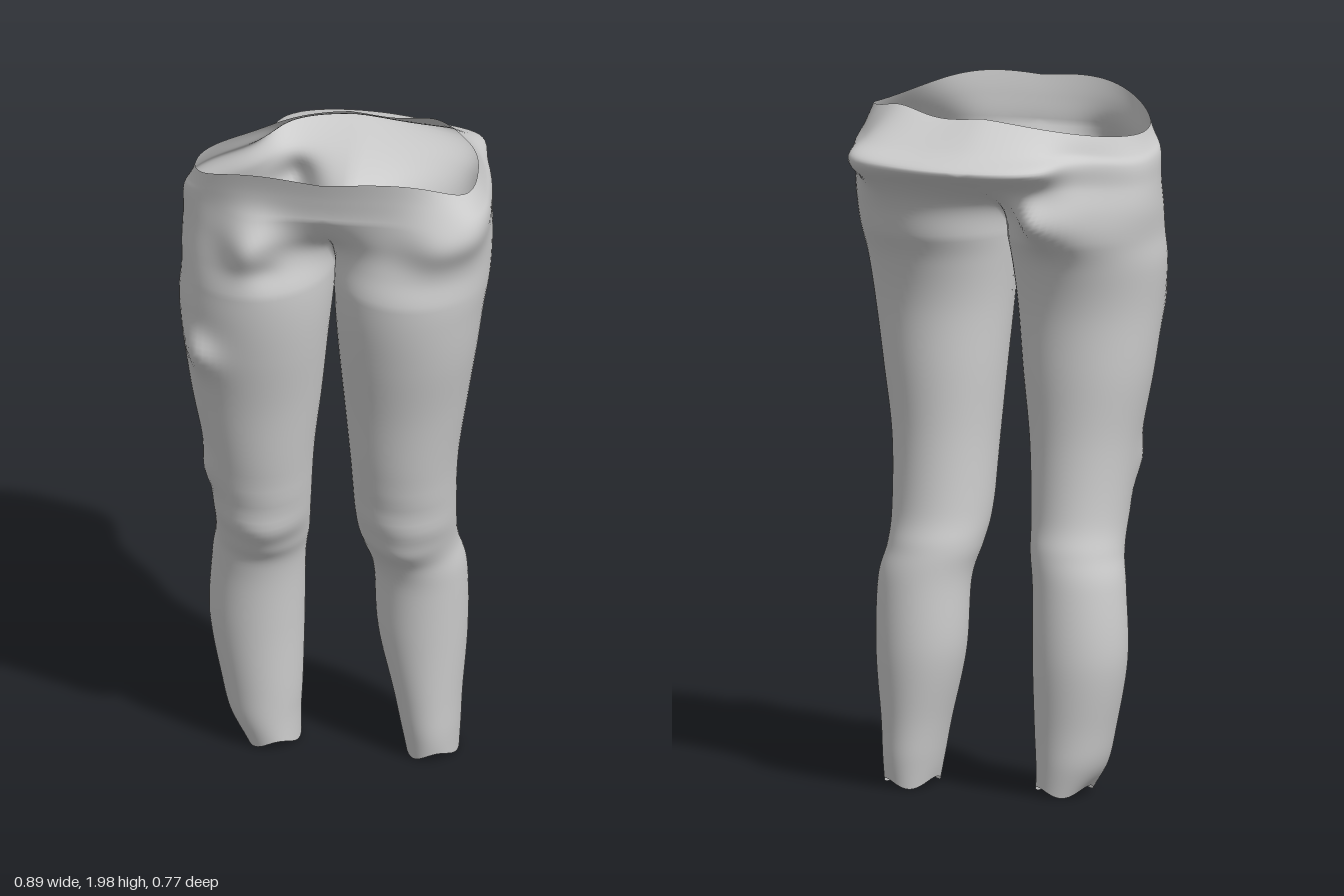
import * as THREE from 'three';
import { mergeVertices } from 'three/addons/utils/BufferGeometryUtils.js';

// Leg sections: y, zFront, zBack, inner and outer x of left leg, inner and outer x of right leg
const LEG = [
  [0.025, 0.08, -0.14, 0.18, 0.33, 0.12, 0.275],
  [0.10, 0.09, -0.15, 0.165, 0.335, 0.12, 0.32],
  [0.20, 0.095, -0.155, 0.145, 0.34, 0.115, 0.345],
  [0.40, 0.105, -0.17, 0.10, 0.355, 0.11, 0.38],
  [0.60, 0.12, -0.155, 0.09, 0.355, 0.105, 0.37],
  [0.70, 0.155, -0.135, 0.065, 0.335, 0.09, 0.355],
  [0.80, 0.205, -0.105, 0.05, 0.335, 0.08, 0.355],
  [1.00, 0.25, -0.085, 0.04, 0.345, 0.065, 0.375],
  [1.20, 0.285, -0.085, 0.025, 0.375, 0.04, 0.41],
  [1.38, 0.325, -0.087, 0.012, 0.405, 0.02, 0.43],
  [1.51, 0.348, -0.115, 0.003, 0.423, 0.006, 0.442],
];
// Hip sections: yFront, yBack, zFront, zBack, outer x, blend from two legs to one waist
const HIP = [
  [1.61, 1.59, 0.355, -0.155, 0.437, 0],
  [1.69, 1.68, 0.35, -0.21, 0.44, 0.32],
  [1.78, 1.76, 0.34, -0.3, 0.437, 0.78],
  [1.86, 1.825, 0.33, -0.39, 0.435, 1],
  [1.93, 1.875, 0.34, -0.285, 0.42, 1],
  [1.99, 1.95, 0.355, -0.165, 0.4, 1],
];
// Local folds: centre, push, radius
const FOLDS = [
  // front pockets and thigh bump
  [[-0.36, 1.385, 0.26], [-0.005, 0.01, 0.055], 0.07],
  [[-0.21, 1.77, 0.32], [0, 0, 0.075], 0.085],
  [[-0.16, 1.69, 0.34], [0, 0, -0.015], 0.05],
  [[0.3, 1.8, 0.28], [0.01, 0, 0.045], 0.09],
  // left hip flare
  [[0.38, 1.84, 0.2], [0.035, -0.01, 0.07], 0.11],
  // back shelf: wide on the left, drawn in on the right
  [[0.28, 1.84, -0.24], [0.05, 0, -0.02], 0.1],
  [[-0.37, 1.83, -0.21], [0.09, 0, 0.05], 0.15],
  // hanging fold under the shelf
  [[-0.18, 1.68, -0.18], [0, -0.015, -0.1], 0.08],
  // low right side of the waist, high left back corner
  [[-0.36, 1.95, 0], [0, -0.05, 0], 0.18],
  [[0.25, 1.95, -0.12], [0, 0.035, 0], 0.1],
  // knees
  [[-0.36, 0.95, 0.15], [-0.01, 0, 0.02], 0.06],
  [[-0.2, 0.76, 0.18], [0, -0.015, 0.01], 0.09],
  [[0.2, 0.74, 0.17], [0, -0.015, 0.01], 0.09],
].map(([c, p, r]) => [new THREE.Vector3(...c), new THREE.Vector3(...p), r]);

// Sections of one half as [yFront, yBack, zFront, zBack, inner, outer, blend]
const sections = (left) => [
  ...LEG.map(([y, zf, zb, iL, oL, iR, oR]) =>
    [y, y, zf, zb, left ? iL : iR, left ? oL : oR, 0]),
  ...HIP.map(([yf, yb, zf, zb, o, w]) => [yf, yb, zf, zb, 0, o, w]),
];

// Smooth interpolation between section rows
function sample(rows, u) {
  const i = Math.min(Math.floor(u), rows.length - 2), t = u - i;
  const at = (k) => rows[THREE.MathUtils.clamp(k, 0, rows.length - 1)];
  return rows[0].map((_, c) => {
    const [a, b, d, e] = [at(i - 1)[c], at(i)[c], at(i + 1)[c], at(i + 2)[c]];
    return b + 0.5 * t * (d - a + t * (2 * a - 5 * b + 4 * d - e + t * (3 * (b - d) + e - a)));
  });
}

const ZC = 0.09;
const signPow = (v, p) => Math.sign(v) * Math.pow(Math.abs(v), p);

// Point on a half: t runs from the inner front, round the outside, to the inner back
function surfacePoint(row, t, side) {
  const [yf, yb, zf, zb] = row;
  const inner = Math.max(0, row[4]), outer = row[5];
  const w = THREE.MathUtils.clamp(row[6], 0, 1);
  // closed leg section
  const lx = (inner + outer) / 2 - (outer - inner) / 2 * Math.cos(t);
  const lz = (zf + zb) / 2 + (zf - zb) / 2 * Math.sin(t);
  // half of the waist oval
  const c = Math.max(0, Math.sin(t / 2)), s = Math.cos(t / 2);
  const hx = outer * Math.pow(c, 0.88);
  const hz = ZC + (s > 0 ? zf - ZC : ZC - zb) * signPow(s, 0.95);
  const p = new THREE.Vector3(
    side * THREE.MathUtils.lerp(lx, hx, w),
    THREE.MathUtils.lerp(yf, yb, (1 - s) / 2),
    THREE.MathUtils.lerp(lz, hz, w));
  // ragged hem and wavy waist
  p.y += 0.016 * Math.sin(3 * t + 2 * side) * Math.exp(-Math.pow(yf / 0.05, 2));
  const rim = THREE.MathUtils.smoothstep(yf, 1.86, 1.99);
  p.y += rim * (0.012 * Math.sin(2 * t) - 0.035 * c * c);
  // shallow wrinkles round the front of the knee
  p.z += 0.004 * Math.sin(yf * 60 + side + 6 * p.x) * Math.max(0, Math.sin(t))
    * Math.exp(-Math.pow((yf - 0.78) / 0.12, 2));
  const q = p.clone();
  for (const [centre, push, r] of FOLDS)
    q.addScaledVector(push, Math.exp(-p.distanceToSquared(centre) / (r * r)));
  if (Math.abs(p.x) < 1e-6) q.x = 0; // keep the centre seam closed
  return q;
}

export function createModel() {
  const group = new THREE.Group();
  const positions = [], index = [];
  const around = 64, perSection = 8;
  // Left and right halves meet along the centre seam above the crotch
  for (const side of [1, -1]) {
    const rows = sections(side > 0);
    const steps = (rows.length - 1) * perSection;
    const base = positions.length / 3;
    for (let i = 0; i <= steps; i++) {
      const row = sample(rows, i / perSection);
      for (let j = 0; j <= around; j++)
        positions.push(...surfacePoint(row, (j / around) * Math.PI * 2, side).toArray());
    }
    for (let i = 0; i < steps; i++) {
      for (let j = 0; j < around; j++) {
        const a = base + i * (around + 1) + j, b = a + 1;
        const d = a + around + 1, e = d + 1;
        if (side > 0) index.push(a, b, d, b, e, d);
        else index.push(a, d, b, b, d, e);
      }
    }
  }
  let geometry = new THREE.BufferGeometry();
  geometry.setAttribute('position', new THREE.Float32BufferAttribute(positions, 3));
  geometry.setIndex(index);
  geometry = mergeVertices(geometry, 1e-4);
  geometry.computeVertexNormals();

  const trousers = new THREE.Mesh(geometry,
    new THREE.MeshStandardMaterial({ color: 0xcccccc, side: THREE.DoubleSide }));
  trousers.name = 'trousers';
  group.add(trousers);
  return group;
}
